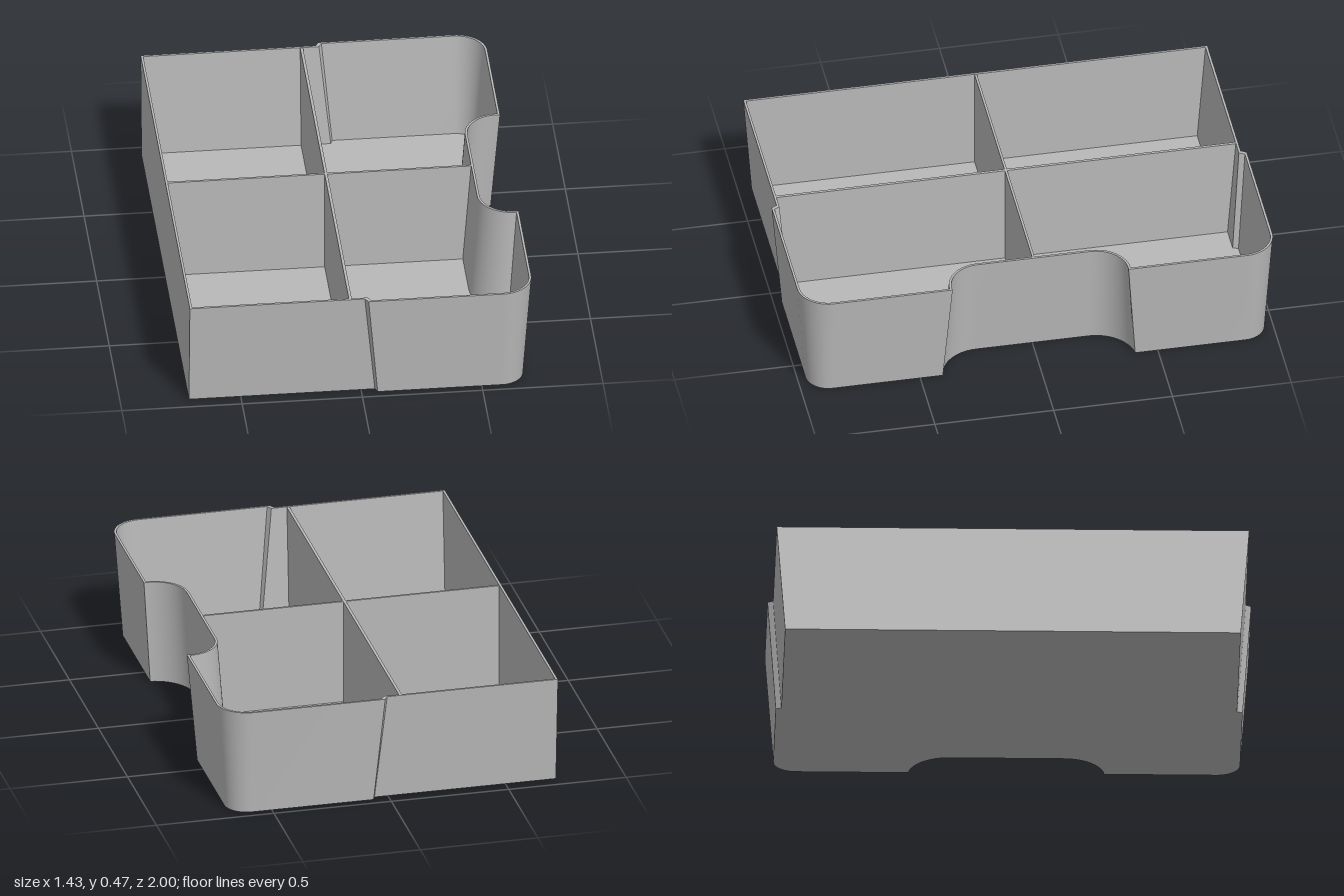
import * as THREE from 'three';
import { toCreasedNormals } from 'three/addons/utils/BufferGeometryUtils.js';

const H = 0.466, WALL = 0.01, DRAFT = 0.035, FLOOR = 0.01;
const BACK = -0.715, FRONT = 0.715, SIDE = 0.977, WIDE = 1.0;
const NOTCH = { x: 0.7, z: 0.237, r: 0.134 };

// Tray outline inset by d, with the straight end at x = backX
function outline(d, backX) {
  const half = [
    [backX, SIDE - d],
    [0.012 + d * 1.3, SIDE - d],
    [0.026 + d * 1.17, WIDE - d],
  ];
  const arc = (cx, cz, r, from, to, n) => {
    for (let i = 0; i <= n; i++) {
      const a = from + ((to - from) * i) / n;
      half.push([cx + r * Math.cos(a), cz + r * Math.sin(a)]);
    }
  };
  // Rounded outer corner, then the hollow corner of the notch
  arc(FRONT - 0.13, WIDE - 0.13, 0.13 - d, Math.PI / 2, 0, 12);
  const r = NOTCH.r + d;
  arc(NOTCH.x, NOTCH.z, r, Math.acos((FRONT - d - NOTCH.x) / r), Math.PI, 12);
  return [...half, ...half.slice().reverse().map(([x, z]) => [x, -z])];
}

// Closed strips of quads between successive rings
function loft(rings) {
  const pos = [];
  for (let k = 0; k < rings.length - 1; k++) {
    const lo = rings[k], hi = rings[k + 1], n = lo.pts.length;
    const at = (ring, i) => [ring.pts[i % n][0], ring.y, ring.pts[i % n][1]];
    for (let i = 0; i < n; i++) {
      const a = at(lo, i), b = at(lo, i + 1), c = at(hi, i + 1), e = at(hi, i);
      pos.push(...a, ...b, ...c, ...a, ...c, ...e);
    }
  }
  const g = new THREE.BufferGeometry();
  g.setAttribute('position', new THREE.Float32BufferAttribute(pos, 3));
  return toCreasedNormals(g, 0.5);
}

// Flat sheet filling a ring, facing up (1) or down (-1)
function sheet(ring, facing) {
  const shape = new THREE.Shape(ring.pts.map(([x, z]) => new THREE.Vector2(x, -facing * z)));
  return new THREE.ShapeGeometry(shape).rotateX((-facing * Math.PI) / 2).translate(0, ring.y, 0);
}

// Thin upright panel with slanted ends
function panel(bottom0, bottom1, top0, top1, thickness) {
  const y0 = FLOOR, y1 = H - 0.002;
  const shape = new THREE.Shape([
    new THREE.Vector2(bottom0, y0), new THREE.Vector2(bottom1, y0),
    new THREE.Vector2(top1, y1), new THREE.Vector2(top0, y1),
  ]);
  return new THREE.ExtrudeGeometry(shape, { depth: thickness, bevelEnabled: false })
    .translate(0, 0, -thickness / 2);
}

export function createModel() {
  const group = new THREE.Group();
  group.name = 'dividedTray';
  const grey = new THREE.MeshStandardMaterial({ color: 0xb8b8b8 });
  grey.name = 'grey plastic';
  const add = (name, geometry) => {
    const mesh = new THREE.Mesh(geometry, grey);
    mesh.name = name;
    group.add(mesh);
    return mesh;
  };

  const outerBottom = { pts: outline(DRAFT, BACK), y: 0 };
  const outerTop = { pts: outline(0, BACK), y: H };
  const innerTop = { pts: outline(WALL, BACK + WALL), y: H };
  const innerBottom = { pts: outline(DRAFT + WALL, BACK + WALL), y: FLOOR };

  // Drafted shell with rim, and the two faces of the floor
  add('walls', loft([outerBottom, outerTop, innerTop, innerBottom]));
  add('floor', sheet(innerBottom, 1));
  add('underside', sheet(outerBottom, -1));

  // Crossing dividers, their ends buried in the walls
  const end = WALL / 2, notchX = NOTCH.x - NOTCH.r - end;
  add('longDivider', panel(BACK + end, notchX - DRAFT, BACK + end, notchX, 0.01));
  const zTop = SIDE - end, zBottom = zTop - DRAFT;
  const cross = add('crossDivider', panel(-zBottom, zBottom, -zTop, zTop, 0.012));
  cross.rotation.y = Math.PI / 2;
  cross.position.x = -0.047;

  return group;
}
